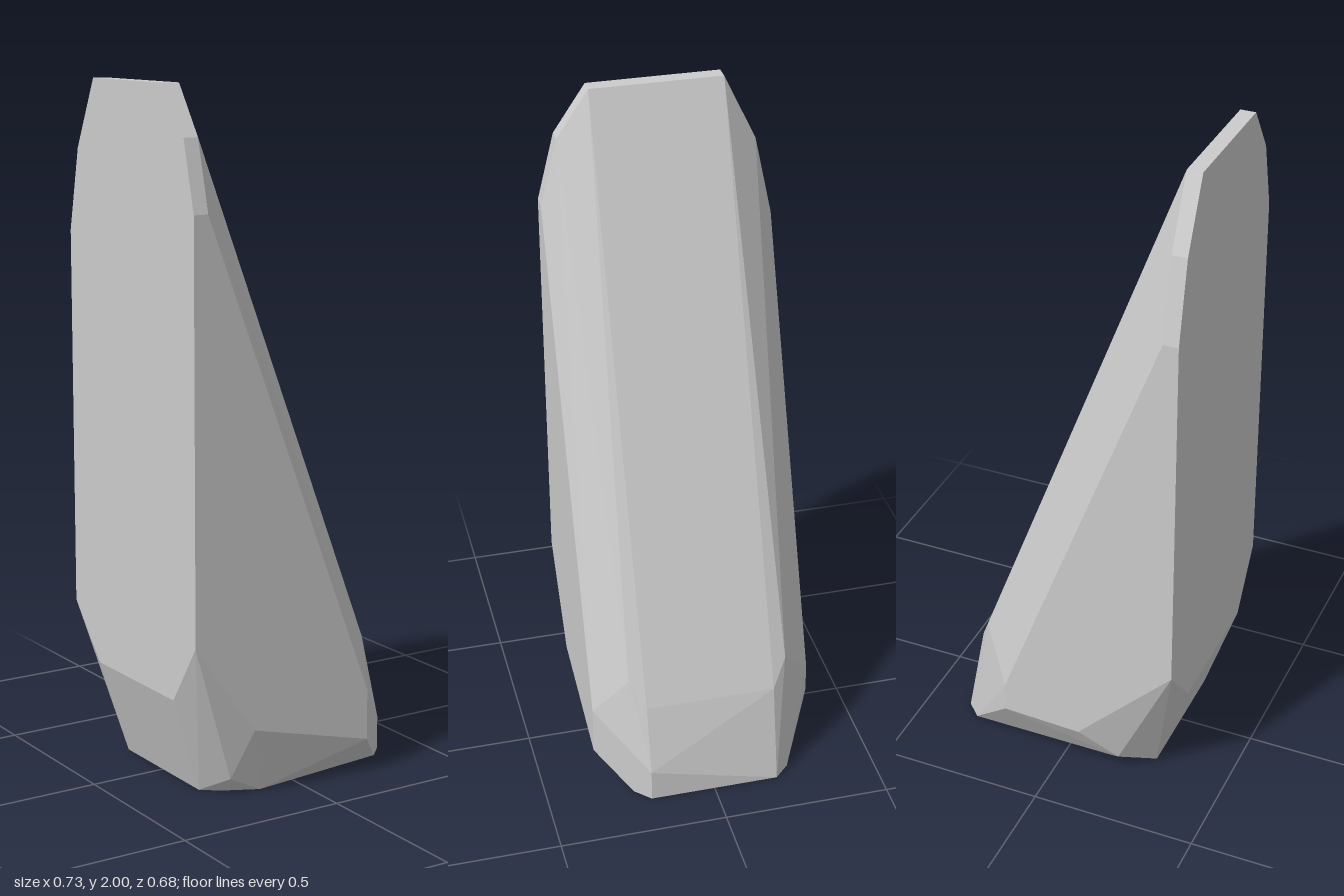
import * as THREE from 'three';
import { ConvexGeometry } from 'three/addons/geometries/ConvexGeometry.js';

export function createModel() {
  const group = new THREE.Group();
  group.name = 'rockShard';

  // Narrow tip: each [y, z] level has an outer and an inner corner
  const tip = [[2, 0.195], [1.86, 0.29], [1.66, 0.34], [2, -0.195], [1.8, -0.29], [1.56, -0.34]];
  const corners = [];
  for (const [y, z] of tip) corners.push([-0.365, y, z], [-0.32, y, z]);

  // Foot of the sloping face and its chamfers
  for (const s of [1, -1]) corners.push([0.31, 0.3, 0.195 * s], [0.27, 0.38, 0.24 * s], [0.365, 0, 0.195 * s], [0.32, 0, 0.24 * s]);
  corners.push([0.365, 0.1, 0.195]);

  // Lower corners of the front and back sides
  corners.push([0.22, 0.25, 0.34], [0.22, 0.1, 0.34], [-0.17, 0.2, 0.34], [-0.365, 0.47, 0.34]);
  corners.push([0.17, 0.25, -0.34], [0.17, 0.16, -0.34], [-0.07, 0.15, -0.34], [-0.365, 0.45, -0.34]);

  // Tapered heel and underside
  corners.push([-0.365, 0.29, 0.22], [-0.365, 0.29, -0.2]);
  corners.push([-0.27, 0, 0.2], [-0.27, 0, -0.2], [-0.22, 0.05, 0.29], [-0.22, 0, 0.24]);
  corners.push([-0.12, 0, 0.29], [-0.18, 0.05, -0.29], [-0.12, 0, -0.24]);

  const rock = new THREE.Mesh(
    new ConvexGeometry(corners.map((c) => new THREE.Vector3(...c))),
    new THREE.MeshStandardMaterial({ color: 0xcccccc, flatShading: true })
  );
  rock.name = 'rock';
  group.add(rock);
  return group;
}
